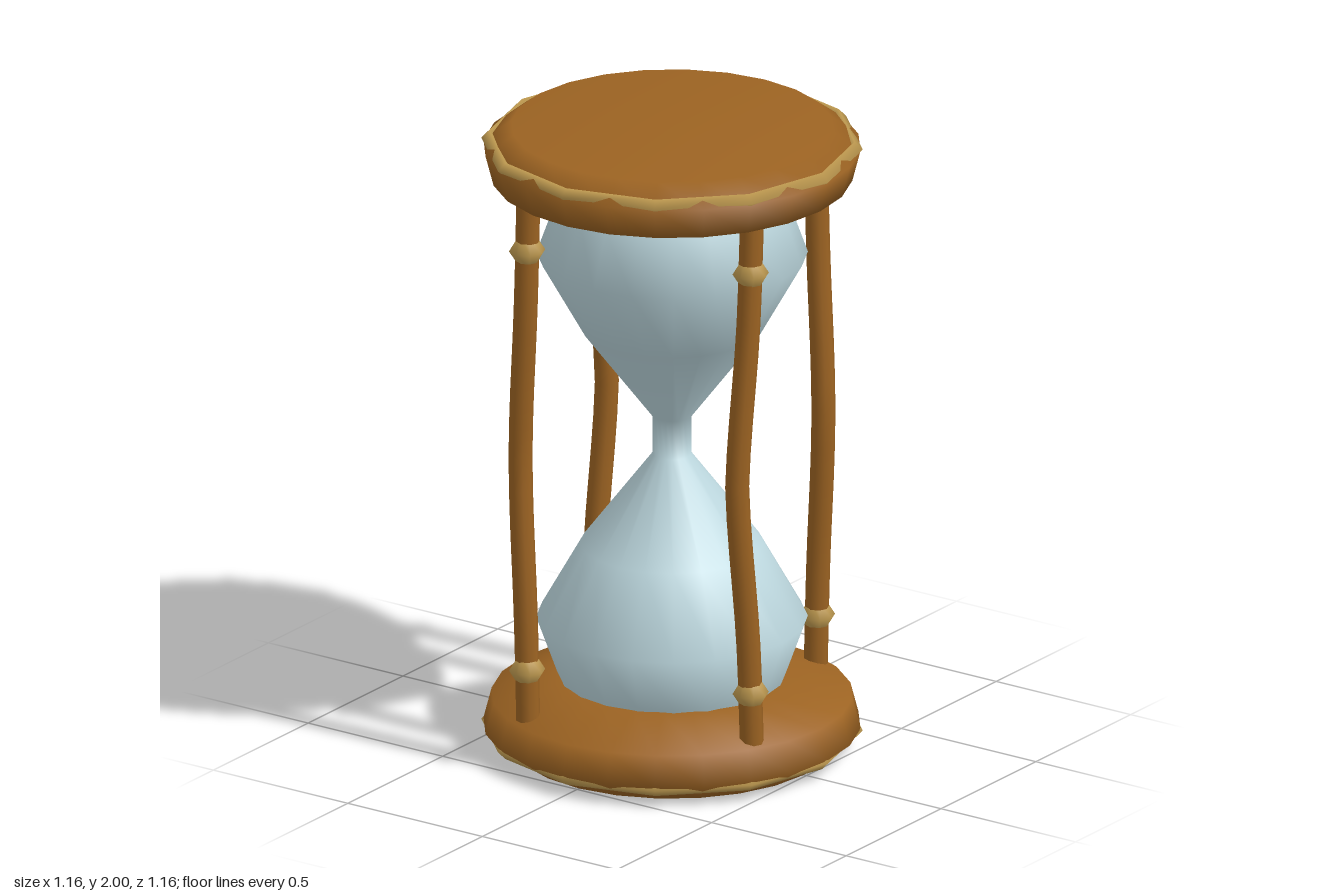
import * as THREE from 'three';

const wood = new THREE.MeshStandardMaterial({ color: 0x9c6322 });
wood.name = 'wood';
const brass = new THREE.MeshStandardMaterial({ color: 0xbf9a50 });
brass.name = 'brass';
const glass = new THREE.MeshStandardMaterial({ color: 0xbdd8df });
glass.name = 'pale glass';

function add(parent, name, geometry, material) {
  const mesh = new THREE.Mesh(geometry, material);
  mesh.name = name;
  parent.add(mesh);
  return mesh;
}

const lathe = (points, sides) =>
  new THREE.LatheGeometry(points.map(([r, y]) => new THREE.Vector2(r, y)), sides);

// Round wooden plate with a faceted brass ring breaking through its rim
function makePlate(name) {
  const plate = new THREE.Group();
  plate.name = name;
  add(plate, name + 'Wood', lathe([
    [0, 0], [0.49, 0], [0.575, 0.063], [0.55, 0.16], [0.34, 0.225], [0, 0.23],
  ], 24), wood);
  const ring = add(plate, name + 'Trim', new THREE.TorusGeometry(0.557, 0.025, 4, 12), brass);
  ring.rotation.x = Math.PI / 2;
  ring.position.y = 0.058;
  return plate;
}

// Bowed post with a bead near each end
function makePost() {
  const post = new THREE.Group();
  post.name = 'post';
  const path = new THREE.CatmullRomCurve3([
    [-0.217, 0.155, 0.45], [-0.23, 0.5, 0.445], [-0.255, 0.84, 0.432], [-0.262, 1, 0.427],
    [-0.255, 1.16, 0.432], [-0.23, 1.5, 0.445], [-0.217, 1.845, 0.45],
  ].map((p) => new THREE.Vector3(...p)));
  add(post, 'rod', new THREE.TubeGeometry(path, 16, 0.037, 8), wood);
  for (const y of [0.325, 1.685]) {
    const bead = add(post, 'bead', lathe([
      [0, -0.047], [0.028, -0.045], [0.056, 0], [0.028, 0.045], [0, 0.047],
    ], 8), brass);
    bead.position.set(-0.222, y, 0.449);
  }
  return post;
}

export function createModel() {
  const model = new THREE.Group();
  model.name = 'hourglass';

  // Bottom plate and its mirrored twin on top
  model.add(makePlate('bottomPlate'));
  const top = makePlate('topPlate');
  top.rotation.x = Math.PI;
  top.position.y = 2;
  model.add(top);

  // Two glass bulbs joined by a narrow neck
  const half = [[0.335, 0.2], [0.35, 0.235], [0.413, 0.41], [0.278, 0.65], [0.06, 0.938]];
  const mirrored = half.map(([r, y]) => [r, 2 - y]).reverse();
  add(model, 'glassBulbs', lathe([...half, ...mirrored], 20), glass);

  // Four posts around the glass
  for (let i = 0; i < 4; i++) {
    const post = makePost();
    post.rotation.y = i * Math.PI / 2;
    model.add(post);
  }
  return model;
}
